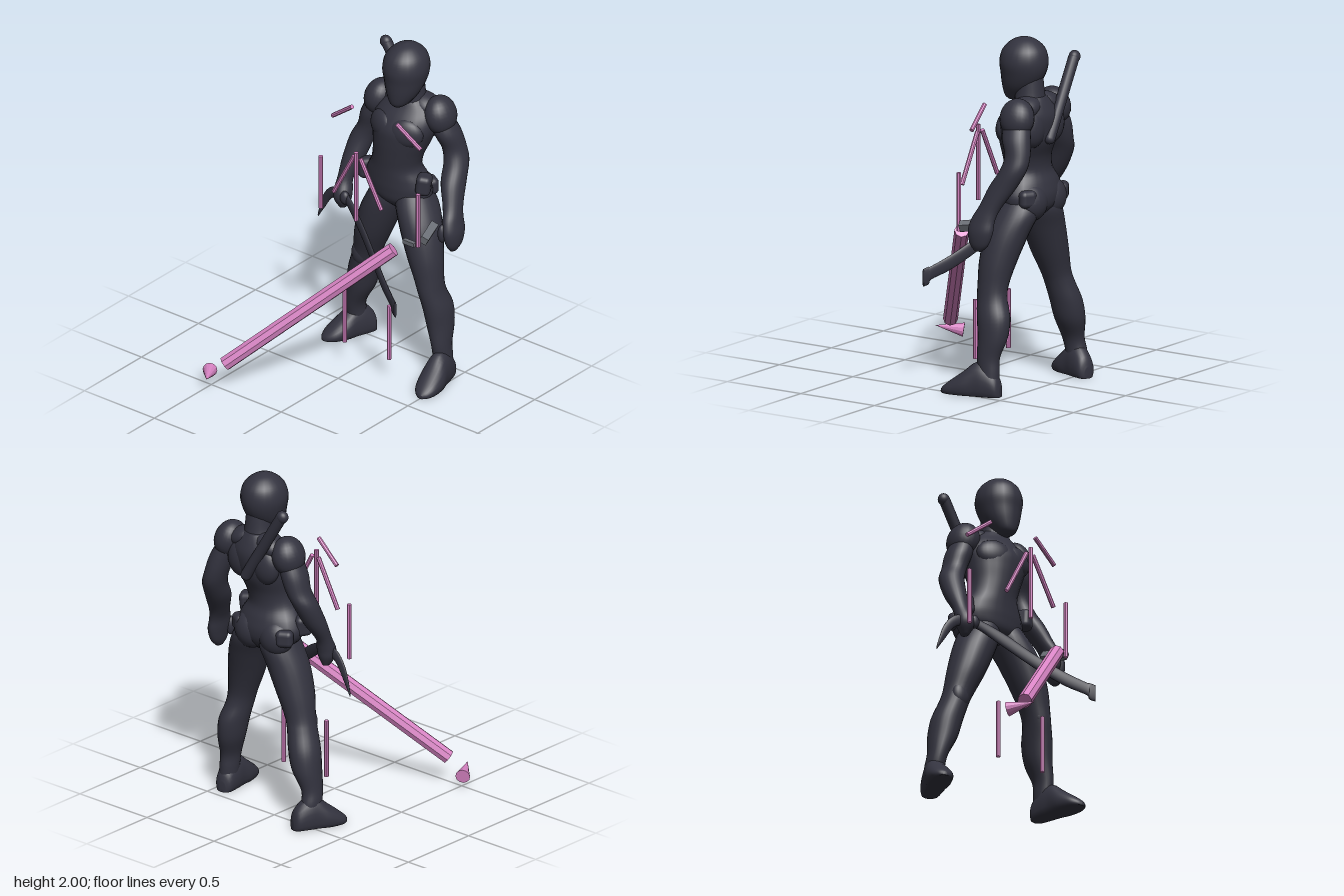
import * as THREE from 'three';
import { RoundedBoxGeometry } from 'three/addons/geometries/RoundedBoxGeometry.js';

const V3 = (x, y, z) => new THREE.Vector3(x, y, z);

// Smooth closed skin through elliptical sections [x, y, z, radiusU, radiusV]
function loft(sections, U = V3(1, 0, 0), V = V3(0, 0, 1), floor = false) {
  const seg = 24, sub = 5, rows = [], n = sections.length;
  const at = i => sections[Math.max(0, Math.min(n - 1, i))];
  for (let i = 0; i < n - 1; i++) {
    for (let k = 0; k < sub + (i === n - 2 ? 1 : 0); k++) {
      const t = k / sub;
      rows.push(at(i).map((b, c) => {
        const a = at(i - 1)[c], d = at(i + 1)[c], e = at(i + 2)[c];
        return 0.5 * (2 * b + (d - a) * t + (2 * a - 5 * b + 4 * d - e) * t * t + (3 * b - a - 3 * d + e) * t ** 3);
      }));
    }
  }
  const pos = [], idx = [];
  for (const [x, y, z, ru, rv] of rows) {
    for (let j = 0; j < seg; j++) {
      const a = j / seg * Math.PI * 2;
      const p = V3(x, y, z).addScaledVector(U, Math.cos(a) * ru).addScaledVector(V, Math.sin(a) * rv);
      pos.push(p.x, floor ? Math.max(0, p.y) : p.y, p.z);
    }
  }
  for (let i = 0; i < rows.length - 1; i++) {
    for (let j = 0; j < seg; j++) {
      const a = i * seg + j, b = i * seg + (j + 1) % seg;
      idx.push(a, a + seg, b, b, a + seg, b + seg);
    }
  }
  // End caps
  const last = rows.length - 1, c0 = pos.length / 3;
  pos.push(...rows[0].slice(0, 3), ...rows[last].slice(0, 3));
  for (let j = 0; j < seg; j++) {
    const k = (j + 1) % seg;
    idx.push(c0, j, k, c0 + 1, last * seg + k, last * seg + j);
  }
  const g = new THREE.BufferGeometry();
  g.setAttribute('position', new THREE.Float32BufferAttribute(pos, 3));
  g.setIndex(idx);
  g.computeVertexNormals();
  return g;
}

export function createModel() {
  const root = new THREE.Group();
  const suit = new THREE.MeshStandardMaterial({ name: 'dark suit', color: 0x33333f });
  const pink = new THREE.MeshStandardMaterial({ name: 'pink', color: 0xd884c4 });
  const grey = new THREE.MeshStandardMaterial({ name: 'grey metal', color: 0x6b6f76 });

  const add = (name, geo, mat = suit) => {
    const m = new THREE.Mesh(geo, mat);
    m.name = name;
    root.add(m);
    return m;
  };
  const blob = (name, p, r, rot = [0, 0, 0]) => {
    const m = add(name, new THREE.SphereGeometry(1, 24, 16));
    m.position.set(...p);
    m.scale.set(...r);
    m.rotation.set(...rot);
  };
  const box = (name, p, s, rot = [0, 0, 0], mat = suit, round = 0.03) => {
    const m = add(name, round ? new RoundedBoxGeometry(...s, 3, round) : new THREE.BoxGeometry(...s), mat);
    m.position.set(...p);
    m.rotation.set(...rot);
  };
  // Aligns a y-axis geometry with the line from a to b
  const align = (m, a, b) => {
    const A = V3(...a), B = V3(...b);
    m.position.copy(A).lerp(B, 0.5);
    m.quaternion.setFromUnitVectors(V3(0, 1, 0), B.sub(A).normalize());
  };
  const rod = (name, a, b, r, rTop = r, sides = 8) => {
    const g = new THREE.CylinderGeometry(rTop, r, V3(...a).distanceTo(V3(...b)), sides).toNonIndexed();
    g.computeVertexNormals();
    align(add(name, g, pink), a, b);
  };

  // Head and neck
  add('head', loft([[.15, 1.635, -.345, .025, .03], [.15, 1.66, -.36, .058, .065], [.15, 1.72, -.39, .095, .105],
    [.15, 1.79, -.41, .118, .13], [.15, 1.86, -.415, .13, .14], [.15, 1.93, -.418, .112, .122],
    [.15, 1.98, -.42, .062, .068], [.15, 2, -.42, .005, .005]]));
  add('neck', loft([[.14, 1.54, -.46, .12, .1], [.145, 1.62, -.46, .1, .09], [.15, 1.68, -.455, .083, .085],
    [.15, 1.78, -.45, .075, .08]]));

  // Torso flowing from hips to shoulders
  add('torso', loft([[.12, .97, -.43, .06, .06], [.1, 1.03, -.43, .18, .12], [.09, 1.1, -.43, .215, .135],
    [.087, 1.17, -.42, .195, .13], [.09, 1.24, -.405, .155, .12], [.105, 1.32, -.405, .155, .128],
    [.12, 1.41, -.42, .178, .15], [.13, 1.49, -.43, .195, .157], [.135, 1.56, -.45, .19, .14],
    [.14, 1.62, -.465, .15, .105], [.145, 1.67, -.465, .08, .08]]));
  for (const s of [-1, 1]) {
    blob('chestMuscle', [.13 + s * .085, 1.485, -.335], [.1, .085, .05], [-.1, s * .35, 0]);
    blob('trapezius', [.135 + s * .1, 1.615, -.485], [.1, .06, .08], [0, 0, -s * .35]);
    blob('shoulderBlade', [.13 + s * .09, 1.5, -.525], [.09, .11, .06]);
    blob('buttock', [.09 + s * .09, 1.07, -.485], [.105, .11, .088]);
  }

  // Pouches around the hips
  box('frontLeftPouch', [.3, 1.17, -.385], [.085, .12, .1], [0, .5, -.1]);
  box('frontRightPouch', [-.11, 1.14, -.385], [.08, .12, .1], [0, -.5, .1]);
  box('backLeftPouch', [.25, 1.1, -.51], [.1, .1, .07], [0, -.5, 0]);
  box('backRightPouch', [-.085, 1.09, -.51], [.1, .1, .07], [0, .5, 0]);

  // Arms, each from fingertips up to the shoulder
  add('leftArm', loft([[.525, .84, -.37, .015, .025], [.525, .88, -.375, .033, .06], [.52, .95, -.38, .044, .08],
    [.505, 1.02, -.39, .044, .074], [.48, 1.09, -.42, .05, .068], [.44, 1.2, -.475, .065, .082],
    [.415, 1.3, -.53, .067, .078], [.39, 1.38, -.54, .066, .075], [.365, 1.47, -.515, .072, .085],
    [.335, 1.55, -.5, .065, .075]]));
  add('rightArm', loft([[-.2, .9, -.29, .02, .025], [-.2, .95, -.285, .048, .05], [-.2, 1, -.29, .053, .055],
    [-.207, 1.07, -.32, .044, .048], [-.195, 1.18, -.38, .062, .068], [-.175, 1.3, -.435, .07, .075],
    [-.14, 1.38, -.455, .067, .077], [-.11, 1.47, -.455, .073, .085], [-.08, 1.55, -.455, .065, .075]]));
  blob('leftShoulder', [.33, 1.575, -.495], [.085, .112, .102], [0, 0, .25]);
  blob('rightShoulder', [-.07, 1.57, -.46], [.088, .112, .102], [0, 0, -.25]);
  blob('leftThumb', [.485, .95, -.32], [.025, .055, .03]);
  blob('rightThumb', [-.16, .98, -.255], [.03, .04, .025]);

  // Legs, each from ankle up to the hip
  add('leftLeg', loft([[.445, .05, -.385, .05, .06], [.44, .14, -.38, .05, .065], [.435, .22, -.375, .052, .07],
    [.415, .33, -.39, .07, .09], [.4, .44, -.385, .077, .1], [.378, .54, -.36, .074, .09],
    [.36, .62, -.355, .082, .09], [.325, .75, -.365, .104, .108], [.275, .9, -.39, .118, .126],
    [.22, 1.02, -.42, .115, .128], [.18, 1.12, -.43, .085, .09]]));
  add('rightLeg', loft([[-.25, .05, -.495, .05, .06], [-.26, .14, -.48, .052, .065], [-.25, .22, -.465, .055, .068],
    [-.215, .33, -.468, .08, .09], [-.19, .44, -.46, .088, .095], [-.155, .55, -.44, .083, .088],
    [-.13, .62, -.43, .088, .088], [-.085, .75, -.42, .108, .11], [-.03, .9, -.42, .12, .124],
    [.02, 1.02, -.43, .115, .127], [.04, 1.12, -.43, .085, .09]]));
  blob('leftKnee', [.37, .58, -.31], [.055, .075, .04]);
  blob('rightKnee', [-.155, .58, -.385], [.055, .075, .04]);

  // Feet with flat soles, from heel to toe
  const foot = (name, hx, hz, tx, tz) => {
    const f = V3(tx - hx, 0, tz - hz), dir = f.clone().normalize();
    const shape = [[0, .02, .06], [.06, .05, .12], [.25, .062, .18], [.42, .066, .185],
      [.62, .075, .13], [.83, .064, .075], [.95, .038, .04], [1, .01, .02]];
    add(name, loft(shape.map(([s, w, h]) => [hx + f.x * s, .35 * h, hz + f.z * s, w, .65 * h]),
      V3(-dir.z, 0, dir.x), V3(0, 1, 0), true));
  };
  foot('leftFoot', .43, -.455, .505, -.105);
  foot('rightFoot', -.215, -.59, -.345, -.285);

  // Curved sword held in the right hand
  add('heldSword', loft([[-.39, .775, -.305, .004, .012], [-.345, .875, -.297, .01, .045], [-.27, .965, -.285, .014, .035],
    [-.16, .98, -.262, .014, .03], [0, .89, -.19, .012, .042], [.15, .785, -.115, .012, .042],
    [.3, .69, -.03, .012, .042], [.41, .64, .03, .01, .038], [.425, .625, .04, .01, .05],
    [.455, .615, .055, .008, .05]], V3(-.45, 0, .89), V3(0, 1, 0)));

  // Sword slung across the back
  align(add('backSword', new THREE.CapsuleGeometry(.032, .48, 6, 16)), [-.115, 1.85, -.567], [.14, 1.43, -.58]);
  blob('backSwordPommel', [-.12, 1.852, -.567], [.036, .036, .032]);

  // Small grey sidearm by the left hand
  box('sidearmBarrel', [.43, .955, -.268], [.045, .045, .155], [.15, .3, -.5], grey, 0);
  box('sidearmBlock', [.37, .913, -.173], [.08, .025, .026], [0, 0, 0], grey, 0);

  // Large pink pole and its cone
  rod('longPole', [.31, .88, -.105], [-.415, .155, .485], .041);
  rod('poleCone', [-.53, .073, .475], [-.445, .097, .61], .041, 0, 12);

  // Thin pink rods floating in front of the body
  const rods = {
    spineRod: [[.083, 1.435, -.057], [.083, 1.005, -.057]],
    rightRibRod: [[.06, 1.4, -.067], [-.085, 1.125, -.067]],
    leftRibRod: [[.105, 1.4, -.067], [.255, 1.125, -.067]],
    rightShoulderRod: [[-.075, 1.602, -.215], [-.23, 1.485, -.235]],
    leftShoulderRod: [[.245, 1.602, -.215], [.4, 1.485, -.235]],
    rightArmRod: [[-.265, 1.242, -.172], [-.265, .915, -.172]],
    leftArmRod: [[.432, 1.242, -.172], [.432, .91, -.172]],
    rightLegRod: [[-.075, .48, -.15], [-.075, .143, -.15]],
    leftLegRod: [[.243, .48, -.15], [.243, .143, -.15]],
  };
  for (const [name, [a, b]] of Object.entries(rods)) rod(name, a, b, .013);
  return root;
}
